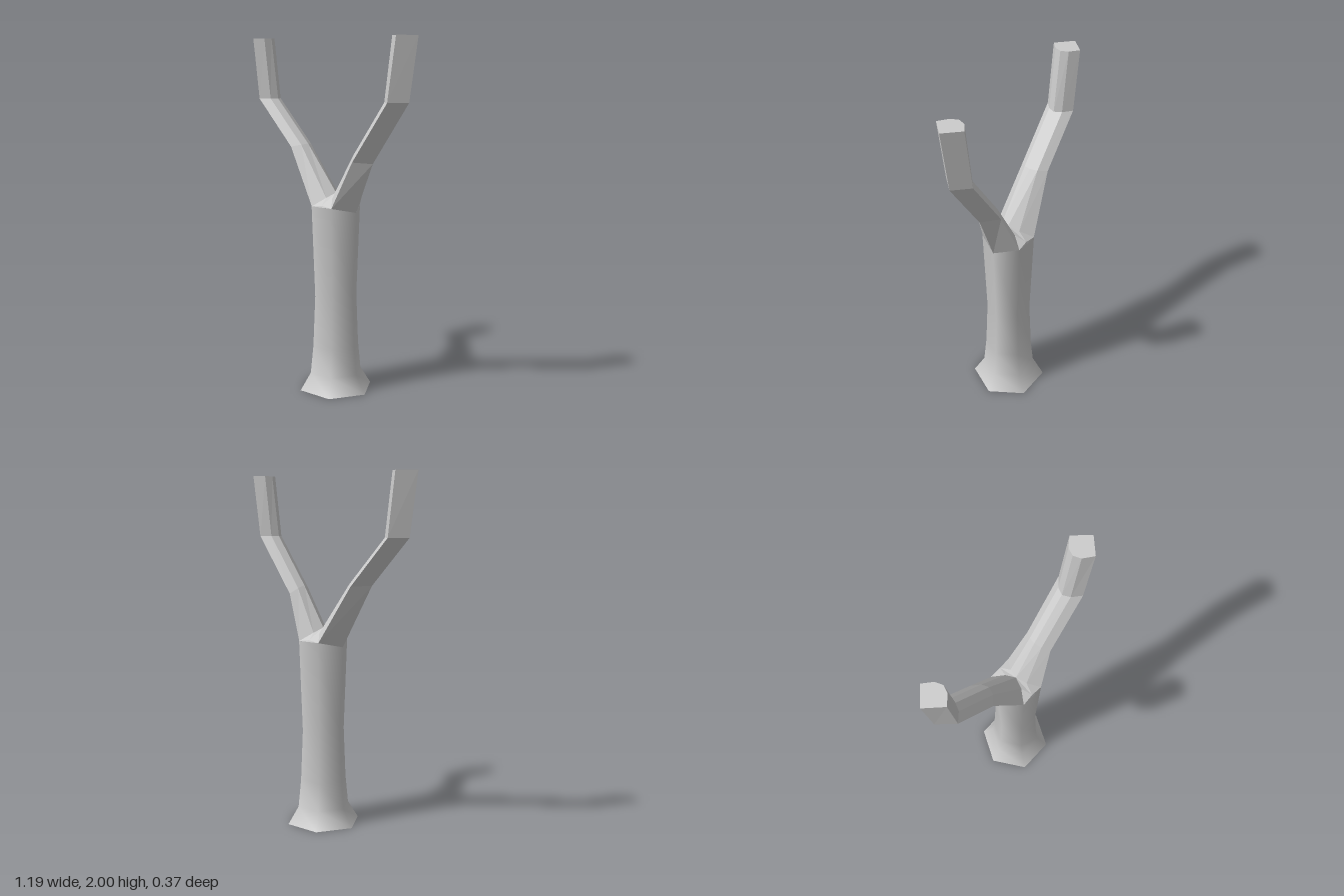
import * as THREE from 'three';

const CX = 0.045; // trunk axis offset
const material = () => new THREE.MeshStandardMaterial({ color: 0xcccccc });

function add(group, geometry, name, flat) {
  const mat = material();
  mat.flatShading = !!flat;
  const mesh = new THREE.Mesh(geometry, mat);
  mesh.name = name;
  group.add(mesh);
  return mesh;
}

function facets(points, indices) {
  const g = new THREE.BufferGeometry();
  g.setAttribute('position', new THREE.Float32BufferAttribute(points.flat(), 3));
  g.setIndex(indices);
  const flat = g.toNonIndexed();
  flat.computeVertexNormals();
  return flat;
}

// Six-sided limb. Each section lists [x, y, z] for outer, side, inner bevel, inner;
// the bevel and side are mirrored in z. s is +1 for the +x limb, -1 for the other.
function limb(sections, s) {
  const points = [], indices = [];
  for (const [o, a, h, n] of sections) {
    const at = ([x, y, z], k) => [x, y, z * k * s];
    points.push(at(o, 1), at(a, 1), at(h, 1), at(n, 1), at(h, -1), at(a, -1));
  }
  const rows = sections.length;
  for (let i = 0; i < rows - 1; i++) {
    for (let j = 0; j < 6; j++) {
      const a = i * 6 + j, b = i * 6 + (j + 1) % 6;
      indices.push(a, a + 6, b, b, a + 6, b + 6);
    }
  }
  const t = (rows - 1) * 6; // end cap
  for (let j = 1; j < 5; j++) indices.push(t, t + j + 1, t + j);
  return facets(points, indices);
}

export function createModel() {
  const model = new THREE.Group();
  model.name = 'forkedTrunk';

  // Hexagonal trunk with a flared foot; front and back rim corners sit higher
  const profile = [[0.215, 0], [0.153, 0.1], [0.137, 0.26], [0.125, 0.55], [0.145, 1.04]];
  const trunk = new THREE.LatheGeometry(
    profile.map(([r, y]) => new THREE.Vector2(r, y)), 6, Math.PI / 2);
  const p = trunk.attributes.position;
  for (let i = 0; i < p.count; i++) {
    if (p.getY(i) > 1 && Math.abs(p.getZ(i)) > 0.05) p.setY(i, 1.07);
  }
  add(model, trunk, 'trunk').position.x = CX;

  const base = add(model, new THREE.CircleGeometry(0.215, 6), 'trunkBase', true);
  base.rotation.x = Math.PI / 2;
  base.position.x = CX;

  // Two limbs, the bend sitting lower on the +x side
  add(model, limb([
    [[0.19, 1.04, 0], [0.117, 1.07, 0.125], [0.067, 1.115, 0.06], [CX, 1.14, 0]],
    [[0.305, 1.32, 0], [0.228, 1.33, 0.083], [0.2, 1.36, 0.042], [0.19, 1.375, 0]],
    [[0.54, 1.655, 0], [0.46, 1.655, 0.083], [0.41, 1.655, 0.042], [0.39, 1.655, 0]],
    [[0.593, 2, 0], [0.512, 2, 0.083], [0.457, 2, 0.042], [0.44, 2, 0]],
  ], 1), 'leftLimb', true);
  add(model, limb([
    [[-0.1, 1.04, 0], [-0.027, 1.07, 0.125], [0.023, 1.115, 0.06], [CX, 1.14, 0]],
    [[-0.305, 1.395, 0], [-0.222, 1.39, 0.083], [-0.18, 1.4, 0.042], [-0.165, 1.405, 0]],
    [[-0.55, 1.655, 0], [-0.47, 1.655, 0.083], [-0.42, 1.655, 0.042], [-0.4, 1.655, 0]],
    [[-0.6, 2, 0], [-0.515, 2, 0.083], [-0.466, 2, 0.042], [-0.449, 2, 0]],
  ], -1), 'rightLimb', true);

  // Small saddle between the limbs, front and back
  for (const s of [1, -1]) {
    const saddle = [
      [0, 1.08, 0.122], [0.0725, 1.07, 0.125], [0.022, 1.115, 0.06],
      [0, 1.14, 0], [-0.022, 1.115, 0.06], [-0.0725, 1.07, 0.125],
    ].map(([x, y, z]) => [CX + x * s, y, z * s]);
    add(model, facets(saddle, [0, 1, 2, 0, 2, 3, 0, 3, 4, 0, 4, 5, 5, 1, 0]),
      s > 0 ? 'frontSaddle' : 'backSaddle', true);
  }
  return model;
}
